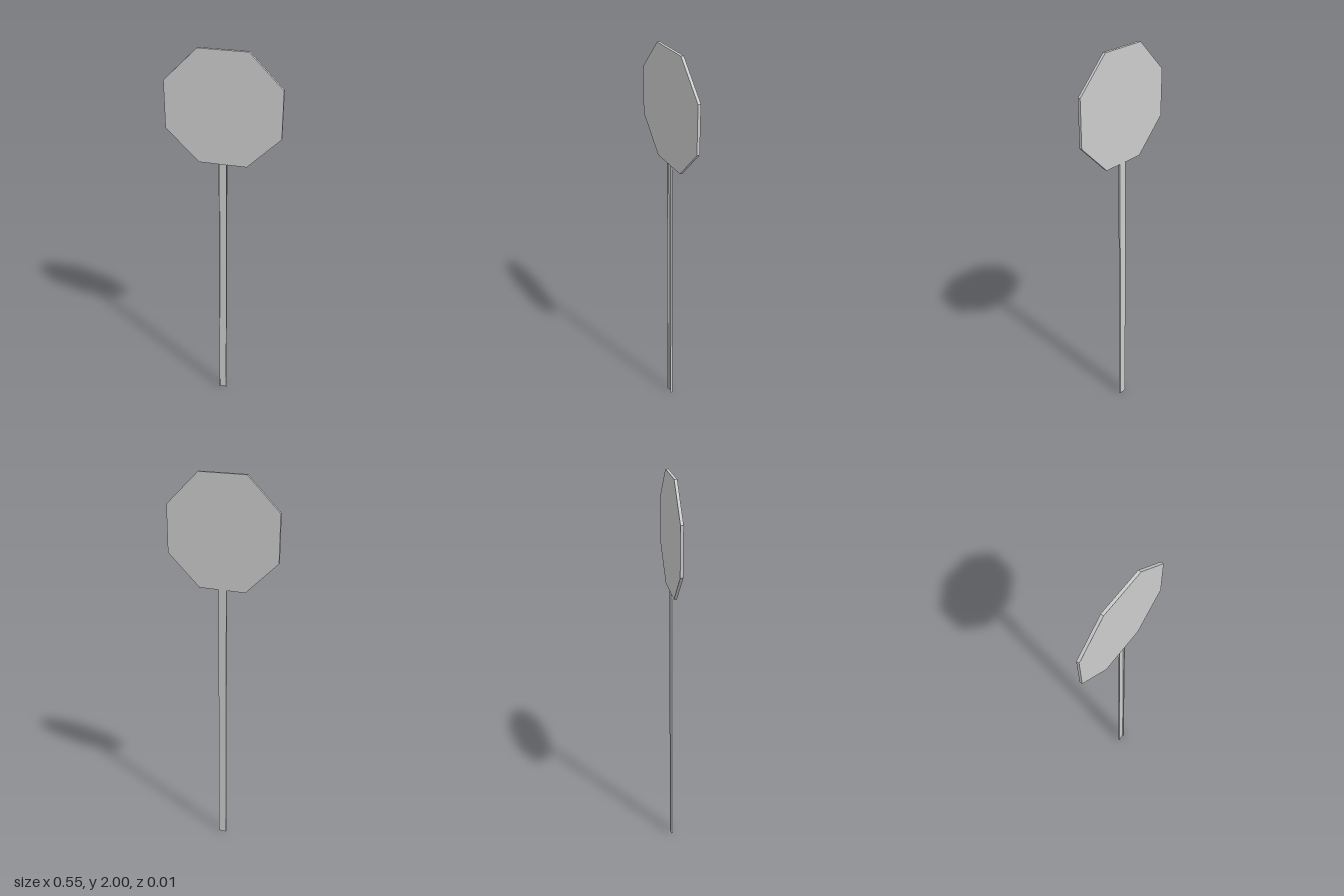
import * as THREE from 'three';

const material = new THREE.MeshStandardMaterial({ color: 0xcccccc, flatShading: true });

// Extrudes a closed outline along z from 0 to depth
function extrude(points, depth, name) {
  const shape = new THREE.Shape(points.map(([x, y]) => new THREE.Vector2(x, y)));
  const geometry = new THREE.ExtrudeGeometry(shape, { depth, bevelEnabled: false });
  const mesh = new THREE.Mesh(geometry, material);
  mesh.name = name;
  return mesh;
}

export function createModel() {
  const group = new THREE.Group();
  group.name = 'roadSign';

  // Octagonal plate
  const r = 0.275, f = 0.116;
  const panel = extrude([
    [-f, -r], [f, -r], [r, -f], [r, f], [f, r], [-f, r], [-r, f], [-r, -f],
  ], 0.014, 'signPanel');
  panel.position.set(0, 2 - r, -0.007);
  group.add(panel);

  // U-channel post, open to the front (outline y becomes -z when stood up)
  const w = 0.02, t = 0.003, back = 0.004, front = -0.006;
  const post = extrude([
    [-w, back], [-w, front], [-w + t, front], [-w + t, back - t],
    [w - t, back - t], [w - t, front], [w, front], [w, back],
  ], 2 - 2 * r, 'post');
  post.rotation.x = -Math.PI / 2;
  group.add(post);

  return group;
}
